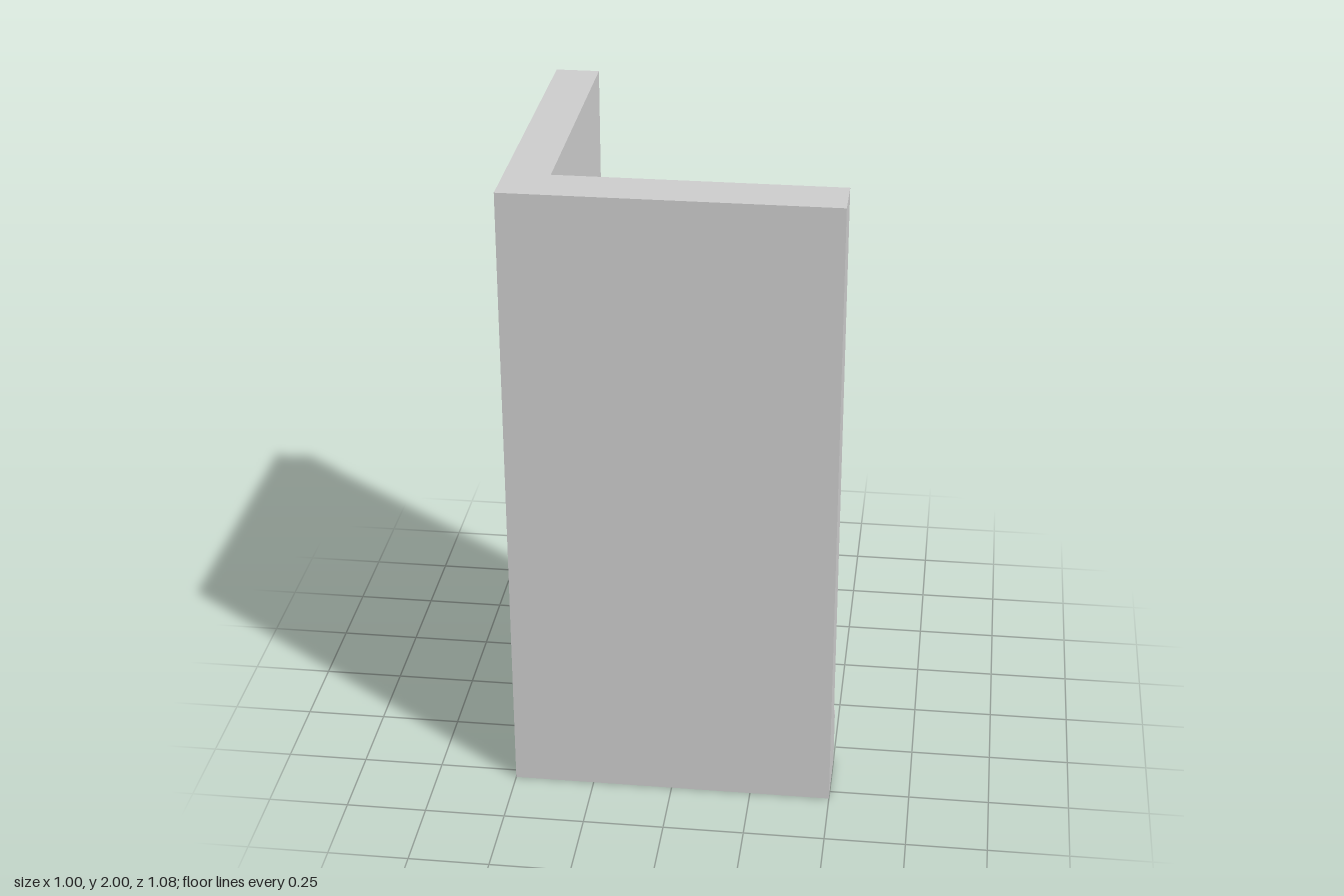
import * as THREE from 'three';

// Wall section with a foot ledge, as [corner x, y, corner z], outer foot first
const section = [
  [-0.5, 0, 0.538],
  [-0.3, 0, 0.322],
  [-0.3, 0.2, 0.322],
  [-0.363, 0.2, 0.381],
  [-0.363, 2, 0.381],
  [-0.5, 2, 0.538],
];
const BACK_Z = -0.538, RIGHT_X = 0.5;

// Sweep the section from the back end, round the mitred corner, to the +x end
function cornerWallGeometry() {
  const stations = [
    section.map(([x, y]) => [x, y, BACK_Z]),
    section,
    section.map(([, y, z]) => [RIGHT_X, y, z]),
  ];
  const positions = [];
  const tri = (a, b, c) => positions.push(...a, ...b, ...c);
  const n = section.length;

  // Long faces of both wings
  for (let s = 0; s < 2; s++) {
    const from = stations[s], to = stations[s + 1];
    for (let i = 0; i < n; i++) {
      const j = (i + 1) % n;
      tri(from[i], from[j], to[j]);
      tri(from[i], to[j], to[i]);
    }
  }

  // End caps, fanned from the inner step of the section
  const [start, , end] = stations;
  for (let k = 1; k < n - 1; k++) {
    const i = (3 + k) % n, j = (4 + k) % n;
    tri(end[3], end[i], end[j]);
    tri(start[3], start[j], start[i]);
  }

  const geometry = new THREE.BufferGeometry();
  geometry.setAttribute('position', new THREE.Float32BufferAttribute(positions, 3));
  geometry.computeVertexNormals();
  return geometry;
}

export function createModel() {
  const group = new THREE.Group();
  group.name = 'cornerPanel';
  const material = new THREE.MeshStandardMaterial({ color: 0xcccccc, flatShading: true });
  const wall = new THREE.Mesh(cornerWallGeometry(), material);
  wall.name = 'cornerWallWithLedge';
  group.add(wall);
  return group;
}
